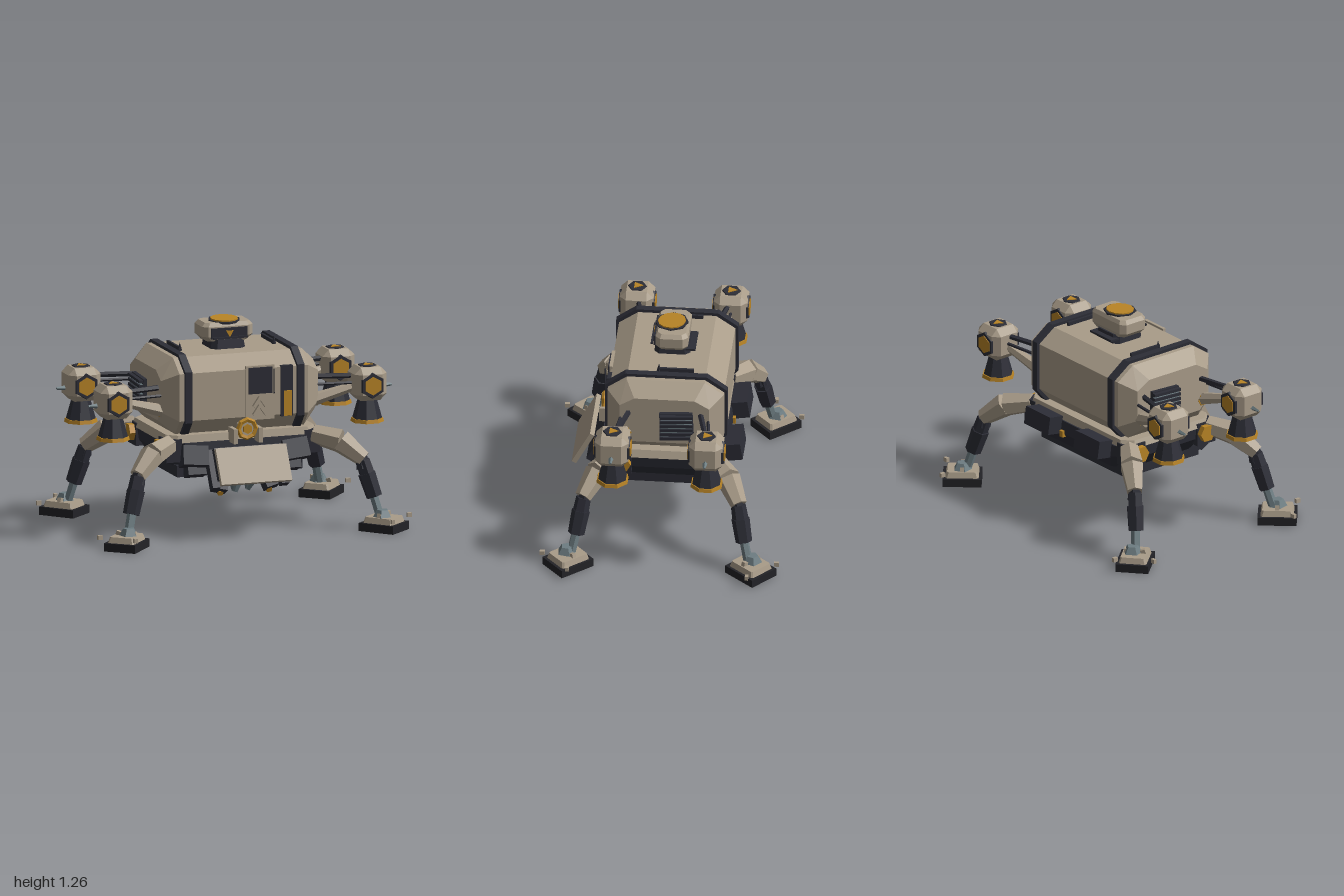
import * as THREE from 'three';
import { ConvexGeometry } from 'three/addons/geometries/ConvexGeometry.js';

const mat = (name, color) => {
  const m = new THREE.MeshStandardMaterial({ color });
  m.name = name;
  return m;
};
const V = (x, y, z) => new THREE.Vector3(x, y, z);

export function createModel() {
  const root = new THREE.Group();
  root.name = 'quadLander';
  const tan = mat('tan armour', 0xa99c89), dark = mat('dark frame', 0x2c2d36);
  const gold = mat('amber', 0xb88426), steel = mat('steel', 0x6d7d82);
  const black = mat('black rubber', 0x232327);

  // Faceted mesh helper
  const add = (parent, name, geo, m, x = 0, y = 0, z = 0, rx = 0, ry = 0, rz = 0) => {
    const g = geo.index ? geo.toNonIndexed() : geo;
    g.computeVertexNormals();
    const mesh = new THREE.Mesh(g, m);
    mesh.name = name;
    mesh.position.set(x, y, z);
    mesh.rotation.set(rx, ry, rz);
    parent.add(mesh);
    return mesh;
  };
  const box = (p, name, m, w, h, d, ...place) => add(p, name, new THREE.BoxGeometry(w, h, d), m, ...place);
  const cyl = (p, name, m, r1, r2, h, n, ...place) => add(p, name, new THREE.CylinderGeometry(r1, r2, h, n), m, ...place);
  // Tapered bar from a to b
  const strut = (p, name, m, a, b, ra, rb, n = 6) => {
    const d = b.clone().sub(a), mid = a.clone().add(b).multiplyScalar(0.5);
    const mesh = cyl(p, name, m, rb, ra, d.length(), n, mid.x, mid.y, mid.z);
    mesh.quaternion.setFromUnitVectors(V(0, 1, 0), d.normalize());
    return mesh;
  };
  const group = (name, x = 0, y = 0, z = 0, ry = 0) => {
    const g = new THREE.Group();
    g.name = name;
    g.position.set(x, y, z);
    g.rotation.y = ry;
    root.add(g);
    return g;
  };

  // Hull: octagonal section with tapered ends
  const half = [[0.235, 1.08], [0.35, 1.0], [0.35, 0.71], [0.27, 0.62]];
  const ring = (x, sz, sy) => half.flatMap(([z, y]) =>
    [1, -1].map(s => V(x, 0.85 + (y - 0.85) * sy, s * z * sz)));
  add(root, 'hull', new ConvexGeometry([
    ...ring(-0.5, 0.77, 0.66), ...ring(-0.41, 1, 1), ...ring(0.41, 1, 1), ...ring(0.5, 0.77, 0.66)]), tan);
  for (const s of [-1, 1]) {
    add(root, 'hullBand', new ConvexGeometry([...ring(s * 0.335, 1.05, 1.08), ...ring(s * 0.38, 1.05, 1.08)]), dark);
    box(root, 'roofRail', dark, 0.015, 0.025, 0.22, s * 0.3, 1.09, -0.05);
    add(root, 'roofFin', new THREE.ConeGeometry(0.018, 0.06, 4), dark, s * 0.3, 1.1, 0.05);
  }

  // Chassis: deck, chamfered pan and belly plate
  const slab = (w, d, c, y) => [-1, 1].flatMap(a => [-1, 1].flatMap(b =>
    [V(a * w, y, b * (d - c)), V(a * (w - c), y, b * d)]));
  add(root, 'deck', new ConvexGeometry([...slab(0.49, 0.34, 0.06, 0.575), ...slab(0.47, 0.33, 0.06, 0.62)]), tan);
  add(root, 'chassis', new ConvexGeometry([
    ...slab(0.39, 0.3, 0.1, 0.4), ...slab(0.47, 0.36, 0.12, 0.5), ...slab(0.48, 0.35, 0.1, 0.575)]), dark);
  box(root, 'bellyPlate', dark, 0.8, 0.07, 0.56, 0, 0.39, 0);
  for (const s of [-1, 1]) {
    box(root, 'rearTank', dark, 0.23, 0.11, 0.1, s * 0.235, 0.555, -0.4, 0.15);
    box(root, 'rearTankLatch', gold, 0.03, 0.04, 0.03, s * 0.1, 0.5, -0.36);
    box(root, 'frontLocker', dark, 0.16, 0.12, 0.1, s * 0.32, 0.49, 0.35, -0.4, 0, s * 0.1);
    box(root, 'frontLockerStep', dark, 0.12, 0.07, 0.09, s * 0.3, 0.4, 0.32, -0.4);
  }

  // Side radiators with fins
  for (const s of [-1, 1]) {
    box(root, 'radiator', dark, 0.04, 0.18, 0.2, s * 0.505, 0.83, -0.075, 0.05);
    for (let i = 0; i < 6; i++) {
      box(root, 'radiatorFin', dark, 0.03, 0.018, 0.2, s * 0.535, 0.76 + i * 0.029, -0.075, 0.05);
      box(root, 'radiatorSlat', steel, 0.02, 0.008, 0.19, s * 0.53, 0.775 + i * 0.027, -0.075, 0.05);
    }
  }

  // Front hatch, window and indicator strip
  box(root, 'hatch', tan, 0.18, 0.33, 0.02, 0.1, 0.855, 0.35);
  box(root, 'hatchWindow', dark, 0.15, 0.16, 0.012, 0.1, 0.93, 0.363);
  for (let i = 0; i < 4; i++)
    box(root, 'gripper', tan, 0.018, 0.07, 0.02, 0.075 + (i % 2) * 0.04, 0.8 - (i >> 1) * 0.05, 0.37, 0, 0, i % 2 ? 0.6 : -0.6);
  box(root, 'indicatorFrame', dark, 0.075, 0.31, 0.025, 0.27, 0.855, 0.35);
  box(root, 'indicator', gold, 0.05, 0.155, 0.008, 0.275, 0.78, 0.365);
  strut(root, 'antenna', dark, V(0.18, 0.85, 0.385), V(0.18, 1.0, 0.385), 0.004, 0.003, 4);

  // Turret with visor and roof lamp
  const turret = group('turret');
  add(turret, 'turretBase', new ConvexGeometry([...slab(0.11, 0.11, 0.03, 1.075), ...slab(0.1, 0.1, 0.03, 1.135)]), dark, 0, 0, -0.01);
  box(turret, 'turretPlate', dark, 0.2, 0.012, 0.06, 0, 1.11, -0.12);
  add(turret, 'turretHead', new ConvexGeometry([
    ...slab(0.13, 0.085, 0.025, 1.125), ...slab(0.16, 0.098, 0.03, 1.155),
    ...slab(0.16, 0.098, 0.03, 1.215), ...slab(0.14, 0.085, 0.025, 1.238)]), tan, 0, 0, -0.01);
  box(turret, 'visor', dark, 0.23, 0.065, 0.03, 0, 1.175, 0.085);
  cyl(turret, 'visorLens', gold, 0.027, 0.027, 0.008, 3, 0, 1.178, 0.102, Math.PI / 2);
  box(turret, 'visorGuard', dark, 0.22, 0.012, 0.012, 0, 1.15, 0.112);
  cyl(turret, 'lampRim', dark, 0.1, 0.1, 0.012, 8, 0, 1.238, 0, 0.04);
  cyl(turret, 'lamp', gold, 0.084, 0.084, 0.012, 12, 0, 1.246, 0, 0.04);

  // Front tool bay: tilted cover, frame, claws and sensor ring
  const tilt = -0.5;
  box(root, 'toolCover', tan, 0.45, 0.23, 0.03, 0, 0.45, 0.515, tilt);
  box(root, 'toolBay', dark, 0.42, 0.2, 0.11, 0, 0.43, 0.4, tilt);
  for (const s of [-1, 1]) {
    box(root, 'toolRail', dark, 0.05, 0.24, 0.06, s * 0.22, 0.41, 0.4, tilt);
    box(root, 'toolClamp', dark, 0.09, 0.08, 0.08, s * 0.16, 0.31, 0.36, tilt, 0, s * 0.25);
    box(root, 'toolClampTip', gold, 0.03, 0.03, 0.03, s * 0.155, 0.265, 0.36, 0.4);
    box(root, 'sensorBracket', tan, 0.025, 0.09, 0.1, s * 0.08, 0.61, 0.38);
  }
  for (let i = 0; i < 5; i++) {
    const x = -0.11 + i * 0.05;
    strut(root, 'claw', steel, V(x, 0.35, 0.32), V(x + (i % 2 ? 0.03 : -0.03), 0.25, 0.21 + (i % 3) * 0.05), 0.035, 0.015, 5);
  }
  add(root, 'sensorRing', new THREE.TorusGeometry(0.055, 0.016, 5, 8), gold, 0, 0.65, 0.405);
  cyl(root, 'sensorHousing', tan, 0.045, 0.05, 0.07, 6, 0, 0.65, 0.375, Math.PI / 2);
  cyl(root, 'sensorLens', gold, 0.03, 0.03, 0.012, 6, 0, 0.65, 0.415, Math.PI / 2);

  // Chamfered cube for the engine pods
  const a = 0.102, b = 0.062, podPoints = [];
  for (const i of [-1, 1]) for (const j of [-1, 1]) for (const k of [-1, 1])
    podPoints.push(V(i * a, j * b, k * b), V(i * b, j * a, k * b), V(i * b, j * b, k * a));

  for (const sx of [-1, 1]) for (const sz of [-1, 1]) {
    const P = (x, y, z) => V(sx * x, y, sz * z);

    // Engine pod with bell
    const pod = group('enginePod', sx * 0.81, 0.855, sz * 0.283);
    add(pod, 'podShell', new ConvexGeometry(podPoints), tan);
    for (const f of [-1, 1]) {
      cyl(pod, 'podPortRim', dark, 0.076, 0.08, 0.014, 6, 0, -0.005, f * 0.101, f * Math.PI / 2);
      cyl(pod, 'podPort', gold, 0.057, 0.057, 0.01, 6, 0, -0.005, f * 0.107, f * Math.PI / 2);
    }
    cyl(pod, 'podCap', dark, 0.055, 0.06, 0.012, 6, 0, 0.102, 0);
    cyl(pod, 'podCapMark', gold, 0.036, 0.036, 0.008, 3, 0, 0.108, 0, 0, Math.PI);
    cyl(pod, 'bell', dark, 0.056, 0.092, 0.13, 8, 0, -0.16, 0, 0, Math.PI / 8);
    cyl(pod, 'bellLip', gold, 0.096, 0.101, 0.022, 8, 0, -0.228, 0, 0, Math.PI / 8);
    cyl(pod, 'podNozzle', steel, 0.008, 0.016, 0.06, 4, sx * 0.125, -0.025, 0, 0, 0, -sx * Math.PI / 2);

    // Pod boom and braces
    strut(root, 'podBoom', tan, P(0.46, 0.755, 0.235), P(0.73, 0.835, 0.275), 0.042, 0.026);
    strut(root, 'podBrace', dark, P(0.46, 0.9, 0.21), P(0.73, 0.9, 0.27), 0.018, 0.016, 5);
    strut(root, 'podHose', dark, P(0.46, 0.86, 0.26), P(0.73, 0.86, 0.29), 0.01, 0.01, 5);
    cyl(root, 'boomJoint', gold, 0.038, 0.038, 0.05, 6, sx * 0.48, 0.76, sz * 0.235, 0, 0, Math.PI / 2);

    // Leg: hip, thigh, shin and piston
    box(root, 'hipBlock', dark, 0.1, 0.14, 0.14, sx * 0.44, 0.53, sz * 0.27);
    cyl(root, 'hipCap', gold, 0.055, 0.055, 0.14, 6, sx * 0.455, 0.54, sz * 0.255, 0, 0, Math.PI / 2);
    strut(root, 'thigh', tan, P(0.46, 0.565, 0.3), P(0.6, 0.53, 0.395), 0.06, 0.075);
    strut(root, 'thighEnd', tan, P(0.6, 0.53, 0.395), P(0.72, 0.425, 0.47), 0.075, 0.05);
    strut(root, 'knee', dark, P(0.705, 0.46, 0.455), P(0.72, 0.37, 0.47), 0.035, 0.045);
    strut(root, 'shin', dark, P(0.715, 0.42, 0.465), P(0.745, 0.31, 0.485), 0.045, 0.05);
    strut(root, 'shinSleeve', dark, P(0.735, 0.34, 0.48), P(0.775, 0.2, 0.505), 0.055, 0.05);
    strut(root, 'piston', steel, P(0.765, 0.23, 0.5), P(0.8, 0.09, 0.53), 0.028, 0.028);

    // Foot
    const foot = group('foot', sx * 0.82, 0, sz * 0.55, sx * sz * 0.72);
    box(foot, 'footPad', black, 0.2, 0.05, 0.235, 0, 0.025, 0);
    add(foot, 'footPlate', new ConvexGeometry([...slab(0.085, 0.1, 0.01, 0.05), ...slab(0.075, 0.09, 0.01, 0.085)]), tan);
    cyl(foot, 'ankle', steel, 0.035, 0.06, 0.045, 5, -sx * 0.015, 0.105, 0);
    for (const s of [-1, 1]) box(foot, 'ankleLug', tan, 0.03, 0.03, 0.025, s * 0.05, 0.092, 0, 0, 0, s * 0.3);
    box(root, 'footProbe', tan, 0.03, 0.026, 0.02, sx * 0.985, 0.08, sz * 0.54);
    box(root, 'footProbe', tan, 0.02, 0.026, 0.03, sx * 0.82, 0.08, sz * 0.705);
  }
  return root;
}
